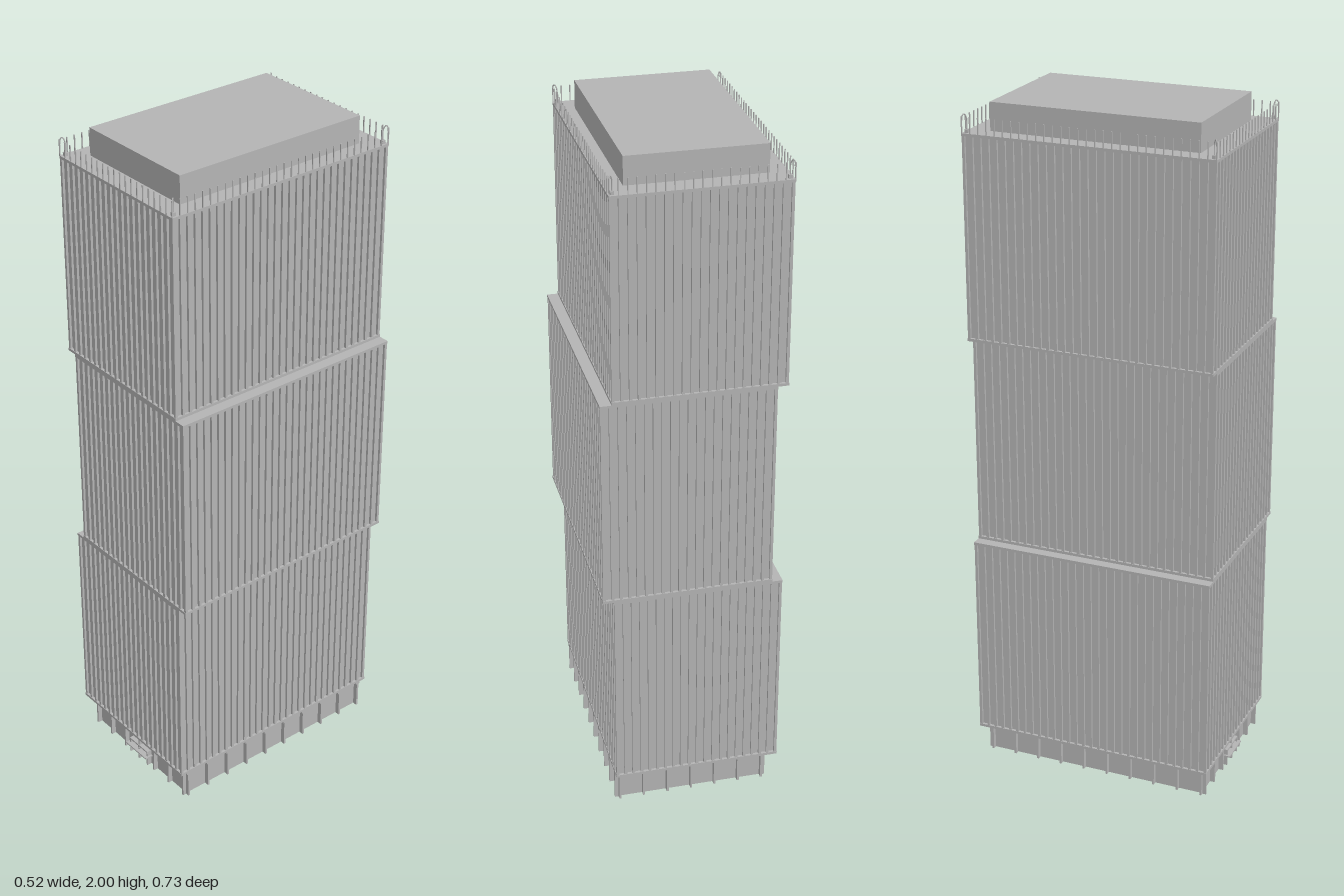
import * as THREE from 'three';

const concrete = new THREE.MeshStandardMaterial({ color: 0xb4b4b4 });
concrete.name = 'light grey concrete';

// Box given by its minimum and maximum corners
function box(parent, name, x0, x1, y0, y1, z0, z1) {
  const mesh = new THREE.Mesh(new THREE.BoxGeometry(x1 - x0, y1 - y0, z1 - z0), concrete);
  mesh.position.set((x0 + x1) / 2, (y0 + y1) / 2, (z0 + z1) / 2);
  mesh.name = name;
  parent.add(mesh);
  return mesh;
}

function group(parent, name) {
  const g = new THREE.Group();
  g.name = name;
  parent.add(g);
  return g;
}

// Upright bars spaced evenly around a rectangle, lying just inside its outline
function perimeterBars(parent, name, r, y0, y1, width, depth, nx, nz) {
  const w = width / 2;
  for (let i = 0; i <= nx; i++) {
    const x = THREE.MathUtils.lerp(r.x0 + w, r.x1 - w, i / nx);
    box(parent, name, x - w, x + w, y0, y1, r.z1 - depth, r.z1);
    box(parent, name, x - w, x + w, y0, y1, r.z0, r.z0 + depth);
  }
  for (let i = 1; i < nz; i++) {
    const z = THREE.MathUtils.lerp(r.z0 + w, r.z1 - w, i / nz);
    box(parent, name, r.x0, r.x0 + depth, y0, y1, z - w, z + w);
    box(parent, name, r.x1 - depth, r.x1, y0, y1, z - w, z + w);
  }
}

// Tower section: recessed core, edge slabs and vertical facade fins
function towerSection(parent, name, r, y0, y1) {
  const g = group(parent, name);
  const inset = 0.008, slab = 0.008;
  box(g, 'core', r.x0 + inset, r.x1 - inset, y0, y1, r.z0 + inset, r.z1 - inset);
  box(g, 'bottomSlab', r.x0, r.x1, y0, y0 + slab, r.z0, r.z1);
  box(g, 'topSlab', r.x0, r.x1, y1 - slab, y1, r.z0, r.z1);
  const fins = { x0: r.x0 + 0.001, x1: r.x1 - 0.001, z0: r.z0 + 0.001, z1: r.z1 - 0.001 };
  perimeterBars(g, 'facadeFin', fins, y0 + slab, y1 - slab, 0.008, inset, 20, 30);
}

export function createModel() {
  const model = new THREE.Group();
  model.name = 'tower';

  // Three stacked sections, the middle one shifted sideways
  const outer = { x0: -0.262, x1: 0.229, z0: -0.366, z1: 0.366 };
  const shifted = { x0: -0.232, x1: 0.261, z0: -0.366, z1: 0.366 };
  towerSection(model, 'lowerSection', outer, 0.09, 0.705);
  towerSection(model, 'middleSection', shifted, 0.705, 1.328);
  towerSection(model, 'upperSection', outer, 1.328, 1.92);

  // Ground floor: hollow walls, open underneath
  const base = group(model, 'groundFloor');
  const b = { x0: -0.219, x1: 0.215, z0: -0.338, z1: 0.338 };
  const t = 0.004;
  box(base, 'frontWall', b.x0, b.x1, 0, 0.09, b.z1 - t, b.z1);
  box(base, 'backWall', b.x0, b.x1, 0, 0.09, b.z0, b.z0 + t);
  box(base, 'rightWall', b.x0, b.x0 + t, 0, 0.09, b.z0 + t, b.z1 - t);
  box(base, 'leftWall', b.x1 - t, b.x1, 0, 0.09, b.z0 + t, b.z1 - t);

  // Columns standing proud of the walls, with small flared heads
  const c = { x0: -0.232, x1: 0.229, z0: -0.352, z1: 0.352 };
  for (let i = 0; i < 7; i++) {
    const x = THREE.MathUtils.lerp(b.x0, b.x1, i / 6);
    for (const s of [-1, 1]) {
      const z0 = s > 0 ? b.z1 : c.z0, z1 = s > 0 ? c.z1 : b.z0;
      box(base, 'column', x - 0.003, x + 0.003, 0, 0.09, z0, z1);
      box(base, 'columnHead', x - 0.007, x + 0.007, 0.083, 0.09, z0, z1);
    }
  }
  for (let i = 0; i < 10; i++) {
    const z = THREE.MathUtils.lerp(b.z0, b.z1, i / 9);
    for (const s of [-1, 1]) {
      const x0 = s > 0 ? b.x1 : c.x0, x1 = s > 0 ? c.x1 : b.x0;
      box(base, 'column', x0, x1, 0, 0.09, z - 0.003, z + 0.003);
      box(base, 'columnHead', x0, x1, 0.083, 0.09, z - 0.007, z + 0.007);
    }
  }

  // Front entrance: frame, door posts and canopy
  const entrance = group(model, 'entrance');
  box(entrance, 'frameTop', -0.046, 0.042, 0.047, 0.052, 0.338, 0.354);
  for (const x of [-0.046, -0.004, 0.038]) {
    box(entrance, 'doorPost', x, x + 0.004, 0, 0.05, 0.338, 0.354);
  }
  box(entrance, 'canopy', -0.052, 0.048, 0.031, 0.035, 0.338, 0.364);

  // Roof plant room
  box(model, 'plantRoom', -0.21, 0.178, 1.92, 2.0, -0.304, 0.302);

  // Thin posts around the roof edge
  const railing = group(model, 'roofPosts');
  perimeterBars(railing, 'roofPost', outer, 1.92, 1.966, 0.003, 0.003, 20, 30);

  // Curved arms at the roof corners, leaning over the edge
  const arms = group(model, 'cornerArms');
  for (const [x, dx] of [[-0.25, -1], [0.218, 1]]) {
    for (const s of [-1, 1]) {
      const z = 0.354 * s;
      box(arms, 'armFoot', x - 0.005, x + 0.005, 1.92, 1.93, z - 0.005, z + 0.005);
      const path = new THREE.CatmullRomCurve3([[0, 1.925], [0, 1.96], [0.005, 1.972], [0.009, 1.966], [0.009, 1.955]]
        .map(([d, y]) => new THREE.Vector3(x + d * dx, y, z + d * s)));
      const arm = new THREE.Mesh(new THREE.TubeGeometry(path, 16, 0.0018, 6), concrete);
      arm.name = 'cornerArm';
      arms.add(arm);
    }
  }
  return model;
}
